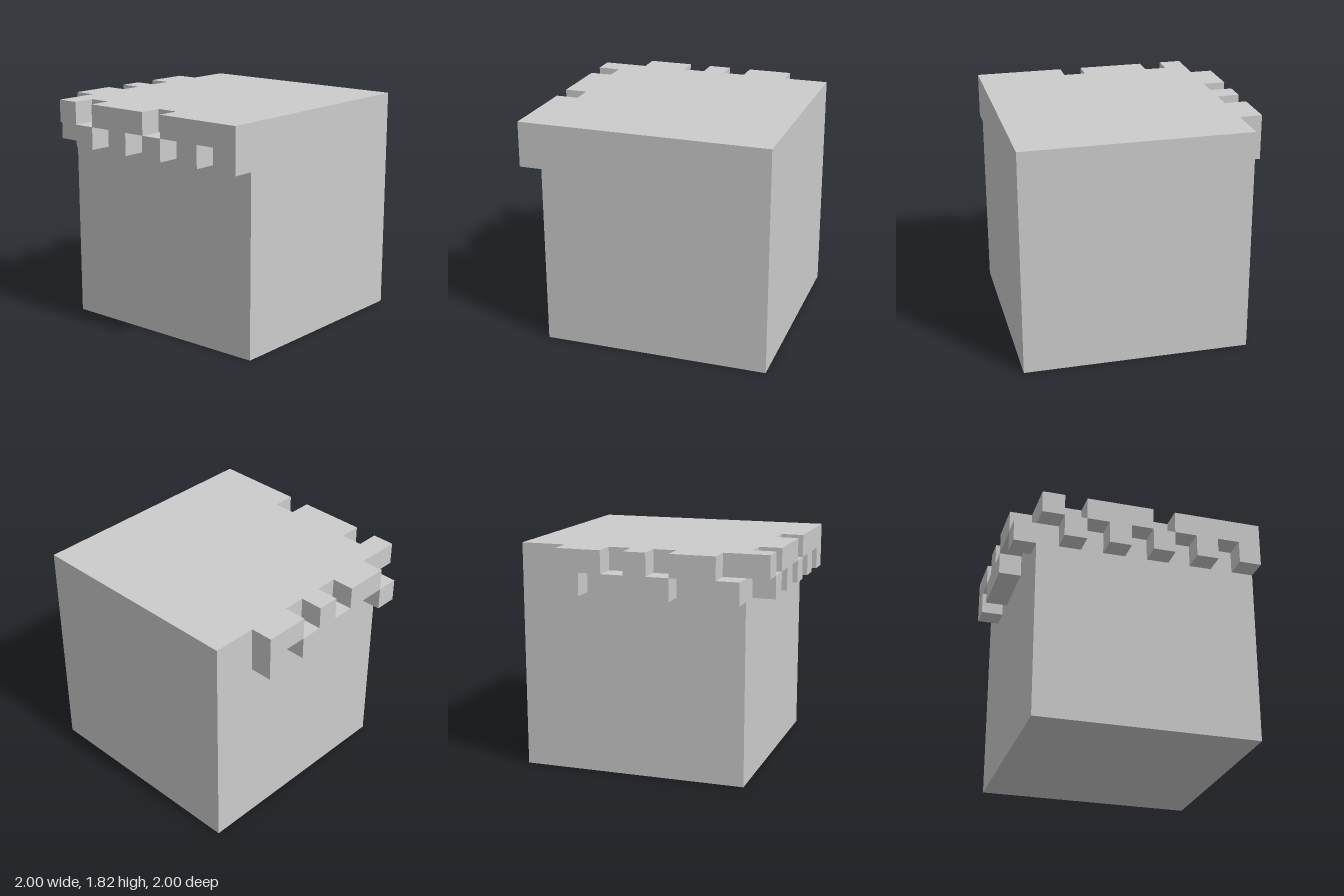
import * as THREE from 'three';

const CELL = 2 / 11; // everything sits on an 11 x 11 grid of cells

export function createModel() {
  const group = new THREE.Group();
  const material = new THREE.MeshStandardMaterial({ color: 0xcccccc, flatShading: true });

  // Box from its lowest grid corner and its size, both in cells
  function block(name, [i, j, k], [w, h, d]) {
    const mesh = new THREE.Mesh(new THREE.BoxGeometry(w * CELL, h * CELL, d * CELL), material);
    mesh.position.set((i + w / 2) * CELL - 1, (j + h / 2) * CELL, (k + d / 2) * CELL - 1);
    mesh.name = name;
    group.add(mesh);
  }

  // Main cube
  block('body', [1, 0, 1], [10, 10, 10]);

  // Two-layer stepped fringe: runs of [first cell, length]
  const layers = [
    { name: 'upper', y: 9, back: [[2, 2], [5, 1], [7, 2]], side: [[1, 1], [3, 3], [7, 4]] },
    { name: 'lower', y: 8, back: [[1, 1], [4, 3], [8, 1]], side: [[2, 1], [4, 1], [6, 1], [8, 1], [10, 1]] },
  ];
  for (const { name, y, back, side } of layers) {
    for (const [start, n] of back) block(`${name}BackFringe`, [start, y, 0], [n, 1, 1]);
    for (const [start, n] of side) block(`${name}SideFringe`, [0, y, start], [1, 1, n]);
  }
  return group;
}
